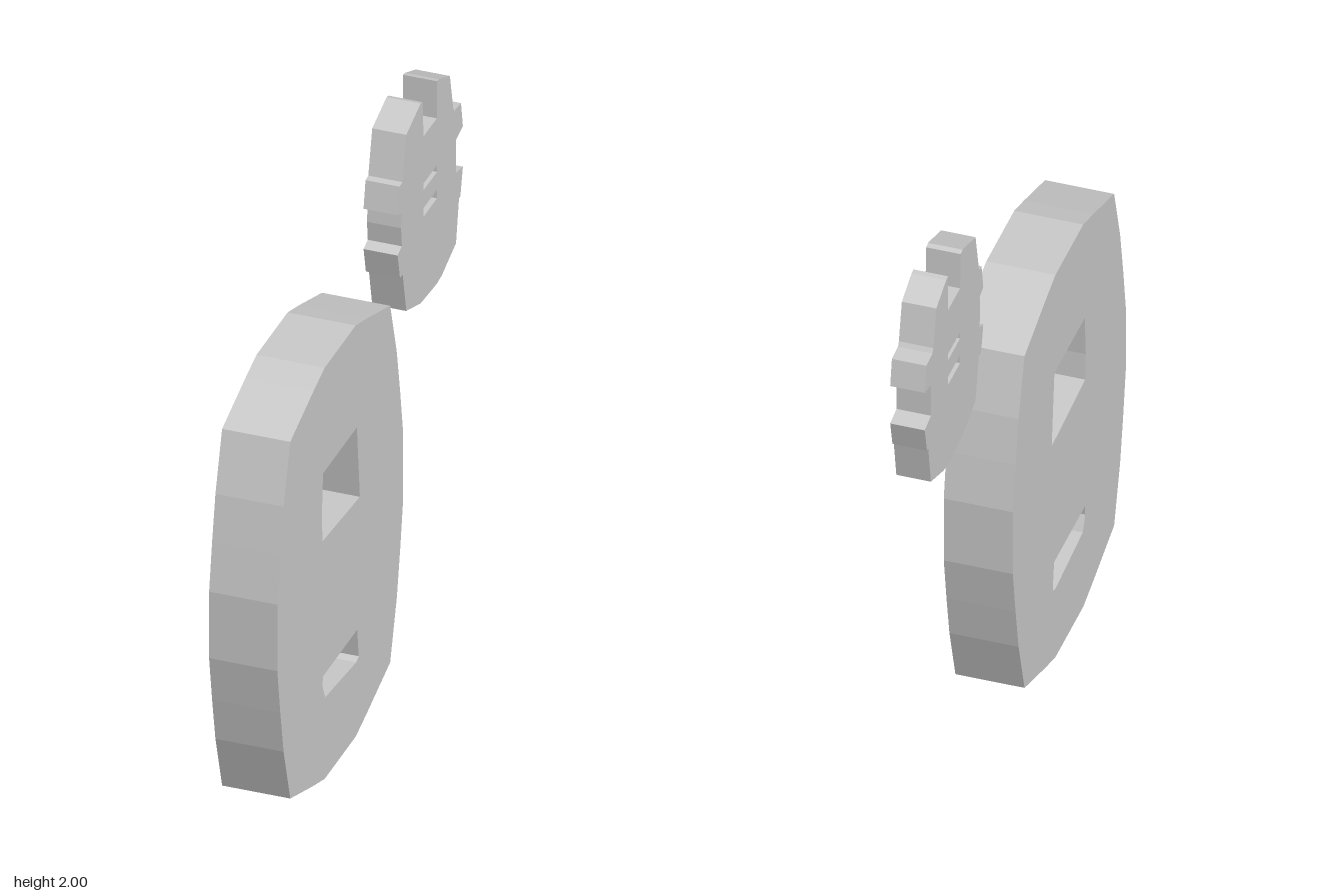
import * as THREE from 'three';

const material = new THREE.MeshStandardMaterial({ color: 0xcccccc, flatShading: true });
const toPoints = (list) => list.map(([z, y]) => new THREE.Vector2(z, y));

// Flat plate cut from a (z, y) outline with holes, spanning xMin to xMax
function plate(name, outline, holes, xMin, xMax) {
  const shape = new THREE.Shape(toPoints(outline));
  holes.forEach((hole) => shape.holes.push(new THREE.Path(toPoints(hole))));
  const geometry = new THREE.ExtrudeGeometry(shape, { depth: xMax - xMin, bevelEnabled: false });
  geometry.rotateY(-Math.PI / 2);
  geometry.translate(xMax, 0, 0);
  const mesh = new THREE.Mesh(geometry, material);
  mesh.name = name;
  return mesh;
}

export function createModel() {
  const model = new THREE.Group();
  model.name = 'platePair';

  // Large barrel-shaped plate: one quarter, mirrored about its centre
  const cz = 0.27, cy = 0.755;
  const quarter = [[0.567, 0.122], [0.54, 0.29], [0.51, 0.45], [0.45, 0.655], [0.24, 0.725], [0.2, 0.737], [0.14, 0.755]];
  const flipped = [...quarter].reverse();
  const largeOutline = [
    ...quarter.map(([a, b]) => [cz + a, cy + b]),
    ...flipped.map(([a, b]) => [cz - a, cy + b]),
    ...quarter.map(([a, b]) => [cz - a, cy - b]),
    ...flipped.map(([a, b]) => [cz + a, cy - b]),
  ];
  const upperWindow = [[0.425, 1.13], [0.12, 1.13], [0.093, 0.86], [0.43, 0.883], [0.435, 0.98]];
  const lowerWindow = [[0.425, 0.385], [0.117, 0.385], [0.103, 0.28], [0.125, 0.27], [0.405, 0.297], [0.43, 0.35]];
  model.add(plate('largePlate', largeOutline, [upperWindow, lowerWindow], -0.115, 0.115));

  // Small notched plate with side tabs and two slots
  const smallOutline = [
    [-0.455, 2], [-0.473, 1.995], [-0.48, 1.865], [-0.6, 1.865], [-0.602, 2], [-0.62, 1.997],
    [-0.718, 1.955], [-0.748, 1.82], [-0.757, 1.805], [-0.818, 1.8], [-0.835, 1.705],
    [-0.772, 1.69], [-0.772, 1.57], [-0.835, 1.557], [-0.812, 1.46], [-0.8, 1.46],
    [-0.773, 1.31], [-0.645, 1.263], [-0.6, 1.257], [-0.455, 1.266], [-0.325, 1.31],
    [-0.293, 1.46], [-0.268, 1.463], [-0.247, 1.557], [-0.285, 1.57],
    [-0.278, 1.64], [-0.283, 1.69], [-0.247, 1.705], [-0.265, 1.8], [-0.29, 1.803], [-0.325, 1.957],
  ];
  const slot = (bottom, top) => [[-0.48, bottom], [-0.48, top], [-0.602, top], [-0.602, bottom]];
  const slots = [slot(1.667, 1.692), slot(1.57, 1.602)];
  model.add(plate('smallPlate', smallOutline, slots, 0, 0.115));

  return model;
}
